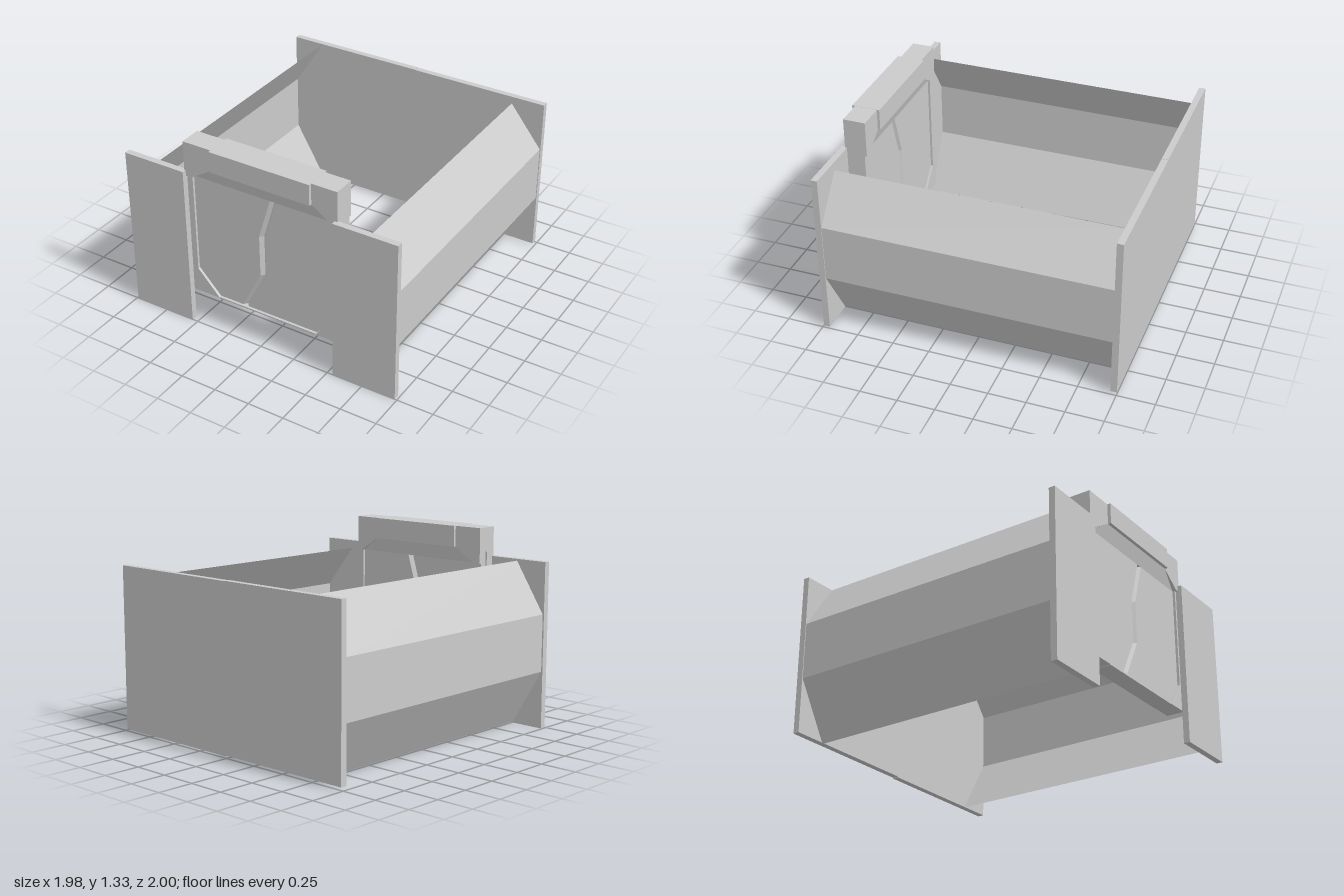
import * as THREE from 'three';
import { ConvexGeometry } from 'three/addons/geometries/ConvexGeometry.js';

export function createModel() {
  const model = new THREE.Group();
  const solid = new THREE.MeshStandardMaterial({ color: 0xcccccc, flatShading: true });
  const sheet = new THREE.MeshStandardMaterial({ color: 0xcccccc, flatShading: true, side: THREE.DoubleSide });

  function add(name, geometry, parent = model, material = solid) {
    const mesh = new THREE.Mesh(geometry, material);
    mesh.name = name;
    parent.add(mesh);
    return mesh;
  }

  // Box given by its limits on each axis
  function box(name, x0, x1, y0, y1, z0, z1, parent) {
    const mesh = add(name, new THREE.BoxGeometry(x1 - x0, y1 - y0, z1 - z0), parent);
    mesh.position.set((x0 + x1) / 2, (y0 + y1) / 2, (z0 + z1) / 2);
  }

  // Outline in x and y, extruded from z0 to z1
  function plate(name, outline, z0, z1, parent) {
    const shape = new THREE.Shape(outline.map(([x, y]) => new THREE.Vector2(x, y)));
    const geometry = new THREE.ExtrudeGeometry(shape, { depth: z1 - z0, bevelEnabled: false });
    add(name, geometry.translate(0, 0, z0), parent);
  }

  function hull(name, points, parent) {
    add(name, new ConvexGeometry(points.map((p) => new THREE.Vector3(...p))), parent);
  }

  // Side wall: thin sheet folded twice, bulging outward at mid height
  function sideWall(name, side, topX, topY) {
    const profile = [[topX, topY], [0.98, 0.78], [0.98, 0.39], [0.76, 0.01]];
    const geometry = new THREE.PlaneGeometry(1, 1, 1, 3);
    const pos = geometry.attributes.position;
    for (let i = 0; i < pos.count; i++) {
      const [x, y] = profile[Math.floor(i / 2)];
      // the column order follows the side so that the front faces outward
      const z = (i % 2 === 0) === (side > 0) ? 0.957 : -0.957;
      pos.setXYZ(i, side * x, y, z);
    }
    const flat = geometry.toNonIndexed();
    flat.computeVertexNormals();
    add(name, flat, model, sheet);
  }
  sideWall('leftSideWall', 1, 0.75, 1.07);
  sideWall('rightSideWall', -1, 0.76, 1.12);

  // Back wall in two halves, and the panels beside the door
  box('backWallRight', -0.985, 0, 0.018, 1.122, -1, -0.957);
  box('backWallLeft', 0, 0.985, 0.012, 1.12, -1, -0.957);
  box('frontPanelRight', -0.99, -0.54, 0, 1.132, 0.957, 1);
  box('frontPanelLeft', 0.54, 0.985, 0, 1.127, 0.957, 1);

  // Door frame
  const frame = new THREE.Group();
  frame.name = 'doorFrame';
  model.add(frame);
  plate('header', [[-0.55, 1.09], [-0.5, 1.09], [-0.34, 1.19], [0.38, 1.19],
    [0.525, 1.09], [0.56, 1.09], [0.56, 1.333], [-0.55, 1.333]], 0.82, 0.97, frame);
  box('headerBlock', -0.34, 0.38, 1.19, 1.334, 0.803, 0.992, frame);
  hull('headerSlope', [[-0.34, 1.19, 0.82], [-0.34, 1.19, 0.97], [0.38, 1.19, 0.82], [0.38, 1.19, 0.97],
    [-0.5, 1.09, 0.85], [-0.5, 1.09, 0.94], [0.525, 1.09, 0.85], [0.525, 1.09, 0.94]], frame);
  plate('rightPost', [[-0.55, 0.225], [-0.34, 0.225], [-0.5, 0.4], [-0.5, 1.09], [-0.55, 1.09]], 0.835, 0.957, frame);
  plate('leftPost', [[0.56, 0.225], [0.56, 1.09], [0.525, 1.09], [0.525, 0.4], [0.39, 0.225]], 0.835, 0.957, frame);
  box('sill', -0.34, 0.39, 0.222, 0.232, 0.835, 0.957, frame);
  box('sideRail', -0.56, -0.55, 0.225, 1.17, 0.885, 0.905, frame);

  // Two door leaves that meet along a bent seam
  const door = new THREE.Group();
  door.name = 'door';
  model.add(door);
  const front = 0.94, back = 0.85, bevel = 0.022, depth = 0.025;
  const seam = [[0.085, 1.09], [-0.003, 0.8], [-0.003, 0.51], [-0.148, 0.23]];
  const edges = {
    rightLeaf: [-1, [[-0.34, 0.23], [-0.5, 0.4], [-0.5, 1.09]]],
    leftLeaf: [1, [[0.39, 0.23], [0.525, 0.4], [0.525, 1.09]]],
  };
  for (const [name, [side, outer]] of Object.entries(edges)) {
    const inner = seam.map(([x, y]) => [x + side * bevel, y]);
    plate(name, [...inner, ...outer], back, front, door);
    // Bevelled edge, forming a V groove on both faces
    for (let i = 0; i < 3; i++) {
      const points = [];
      for (const k of [i, i + 1]) {
        points.push([...inner[k], front], [...inner[k], back],
          [...seam[k], front - depth], [...seam[k], back + depth]);
      }
      hull(name + 'Bevel', points, door);
    }
  }

  return model;
}
